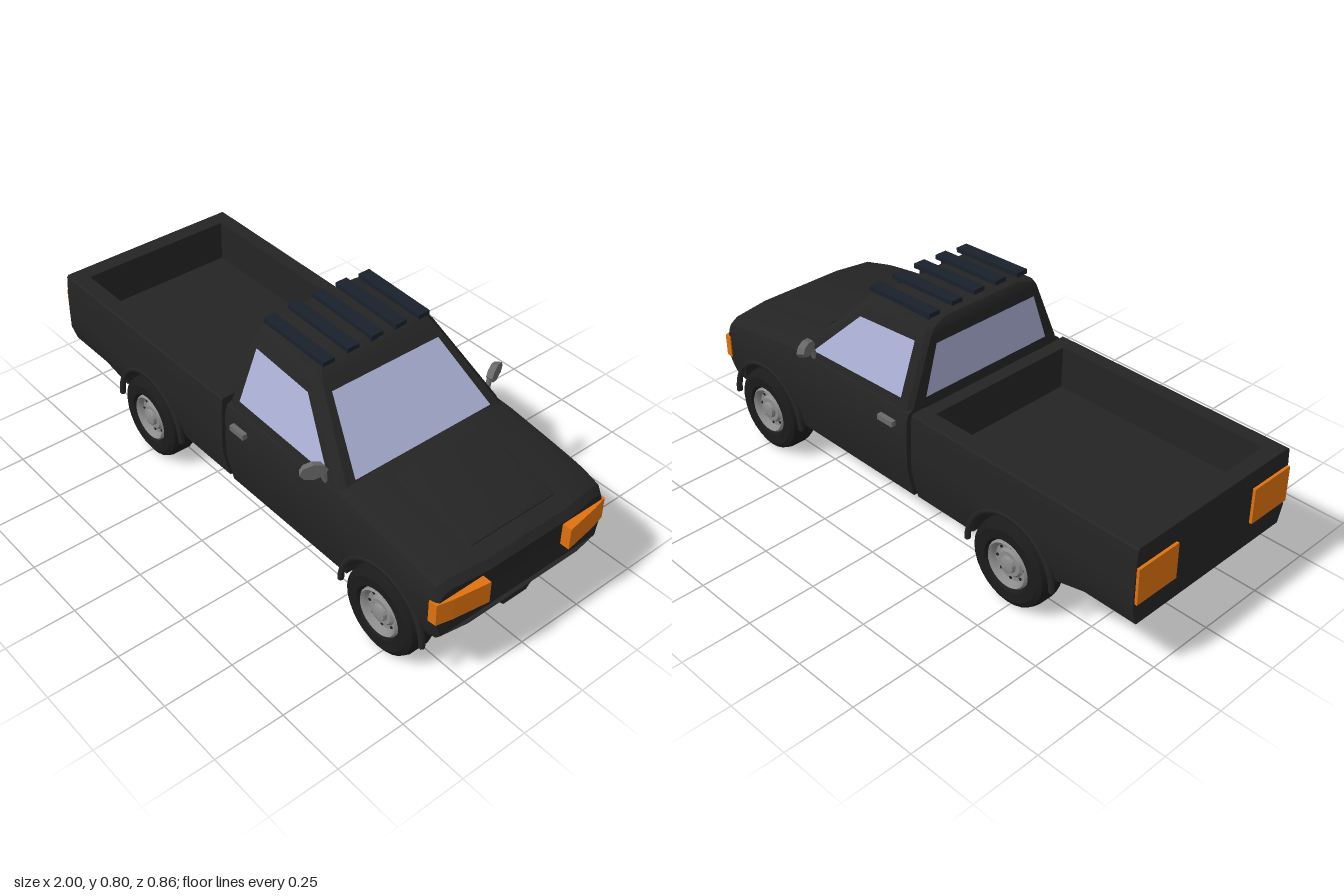
import * as THREE from 'three';
import { toCreasedNormals } from 'three/addons/utils/BufferGeometryUtils.js';

const mat = (color) => new THREE.MeshStandardMaterial({ color });
const paint = mat(0x242424), rubber = mat(0x1b1b1b), steel = mat(0x8c8c8c), trim = mat(0x6a6a6a);
const amber = mat(0xe0720e), lampBar = mat(0x1a212b);
const glass = mat(0xa9aed2);
glass.side = THREE.DoubleSide;

const WHEELS = [-0.49, 0.73], AXLE_Y = 0.155, ARCH = 0.18;

function add(parent, name, geometry, material, x = 0, y = 0, z = 0) {
  const m = new THREE.Mesh(geometry, material);
  m.name = name;
  m.position.set(x, y, z);
  parent.add(m);
  return m;
}

// Skin over sections along x; each section is { x, half: [[z, y], ...] } going from bottom to top on the +z side
function loft(sections, crease = 0.5, bend = (x) => x) {
  const pos = [], idx = [], h = sections[0].half.length, n = 2 * h;
  for (const { x, half } of sections) {
    const ring = [...half, ...half.map(([z, y]) => [-z, y]).reverse()];
    for (const [z, y] of ring) pos.push(bend(x, z), y, z);
  }
  for (let k = 0; k < sections.length - 1; k++) {
    for (let i = 0; i < n; i++) {
      const a = k * n + i, b = k * n + (i + 1) % n, c = a + n, d = b + n;
      idx.push(a, c, b, b, c, d);
    }
  }
  const last = (sections.length - 1) * n;
  for (let i = 0; i < h - 1; i++) {
    const p = i, r = i + 1, q = n - 1 - i, s = n - 2 - i;
    idx.push(p, r, q, r, s, q);
    idx.push(last + p, last + q, last + r, last + r, last + q, last + s);
  }
  const g = new THREE.BufferGeometry();
  g.setAttribute('position', new THREE.Float32BufferAttribute(pos, 3));
  g.setIndex(idx);
  return toCreasedNormals(g, crease);
}

// Straight-line interpolation through [x, y] points
function along(points, x) {
  if (x <= points[0][0]) return points[0][1];
  for (let i = 1; i < points.length; i++) {
    const [x0, y0] = points[i - 1], [x1, y1] = points[i];
    if (x <= x1) return y0 + (y1 - y0) * (x - x0) / (x1 - x0);
  }
  return points[points.length - 1][1];
}

// Lower half of a body section, with the wheel arch lifted out of the side
function flank(x, base, cx, s = 1) {
  const d = ARCH * ARCH - (x - cx) ** 2;
  const lip = Math.max(base, d > 0 ? AXLE_Y + Math.sqrt(d) : 0);
  const width = (y) => Math.min(0.361, 0.335 + Math.max(0, y - 0.2) * 0.33) * s;
  const mid = Math.max(lip, 0.28);
  return [[0.235, base], [0.235, lip], [width(lip), lip], [width(mid), mid], [0.361 * s, 0.36]];
}

const archXs = (cx) => Array.from({ length: 17 }, (_, i) => cx - ARCH * Math.cos(i * Math.PI / 16));

function bedGeometry() {
  const base = [[-0.99, 0.22], [-0.79, 0.22], [-0.67, 0.185], [-0.6, 0.17]];
  const section = (x, floor) => ({
    x, half: [...flank(x, along(base, x), WHEELS[0]), [0.358, 0.44], [0.354, 0.495], [0.348, 0.502], [0.295, 0.502], [0.293, floor]],
  });
  const open = [-0.93, -0.79, ...archXs(WHEELS[0]), -0.1];
  return loft([section(-0.99, 0.5), section(-0.93, 0.5), ...open.map((x) => section(x, 0.345)), section(-0.1, 0.5), section(-0.05, 0.5)],
    0.5, (x, z) => x);
}

function cabGeometry() {
  const base = [[0.6, 0.165], [0.85, 0.168], [0.92, 0.2], [0.97, 0.2], [0.995, 0.23]];
  const top = [[0.45, 0.51], [0.56, 0.503], [0.72, 0.482], [0.9, 0.455], [0.975, 0.44], [0.995, 0.415]];
  const size = [[0.9, 1], [0.975, 0.985], [0.995, 0.965]];
  const xs = [-0.03, -0.02, 0.3, 0.5, ...archXs(WHEELS[1]), 0.92, 0.95, 0.975, 0.995];
  return loft(xs.map((x) => {
    const s = along(size, x), h = along(top, x);
    return { x, half: [...flank(x, along(base, x), WHEELS[1], s), [0.359 * s, h - 0.05], [0.348 * s, h - 0.02], [0.315 * s, h - 0.005], [0.17, h]] };
  }), 0.5, (x, z) => x - 0.035 * (z / 0.36) ** 2 * THREE.MathUtils.smoothstep(x, 0.8, 0.98));
}

// Greenhouse: chamfered rectangles stacked in y, lofted along x and then stood up
function greenhouseGeometry() {
  const levels = [[0.47, -0.03, 0.555, 0.348], [0.5, -0.03, 0.53, 0.342], [0.725, -0.022, 0.31, 0.254],
    [0.752, -0.018, 0.285, 0.236], [0.768, -0.008, 0.25, 0.18], [0.776, 0.01, 0.22, 0.08]];
  const g = loft(levels.map(([y, back, front, w]) => ({
    x: y, half: [[w - 0.02, -front], [w, -front + 0.035], [w, -back - 0.015], [w - 0.015, -back]],
  })), 0.45);
  return g.rotateZ(Math.PI / 2);
}

function pane(parent, name, corners) {
  const g = new THREE.BufferGeometry().setFromPoints(corners.map((c) => new THREE.Vector3(...c)));
  g.setIndex([0, 1, 2, 0, 2, 3]);
  g.computeVertexNormals();
  add(parent, name, g, glass);
}

const lathe = (pts) => toCreasedNormals(new THREE.LatheGeometry(pts.map((p) => new THREE.Vector2(...p)), 28).rotateX(Math.PI / 2), 0.5);

function wheel() {
  const g = new THREE.Group();
  g.name = 'wheel';
  // Profiles are [radius, distance outward]
  add(g, 'tire', lathe([[0.085, -0.06], [0.135, -0.06], [0.148, -0.045], [0.155, -0.025], [0.155, 0.03],
    [0.148, 0.05], [0.13, 0.06], [0.095, 0.058], [0.085, 0.04]]), rubber);
  add(g, 'rim', lathe([[0, -0.045], [0.086, -0.045], [0.086, 0.05], [0.08, 0.057], [0.072, 0.05], [0.066, 0.034],
    [0.052, 0.034], [0.044, 0.044], [0.03, 0.044], [0.027, 0.056], [0.012, 0.06], [0, 0.06]]), steel);
  for (let i = 0; i < 8; i++) {
    const a = i * Math.PI / 4;
    const hole = add(g, 'rimSlot', new THREE.CylinderGeometry(0.005, 0.005, 0.004, 8), rubber, 0.059 * Math.cos(a), 0.059 * Math.sin(a), 0.035);
    hole.rotation.x = Math.PI / 2;
  }
  return g;
}

export function createModel() {
  const truck = new THREE.Group();
  truck.name = 'pickupTruck';
  add(truck, 'cargoBed', bedGeometry(), paint);
  add(truck, 'cabAndHood', cabGeometry(), paint);
  add(truck, 'greenhouse', greenhouseGeometry(), paint);
  add(truck, 'frameLink', new THREE.BoxGeometry(0.06, 0.29, 0.52), paint, -0.04, 0.32, 0);
  add(truck, 'chinGuard', loft([0.86, 0.95].map((x) => ({ x, half: [[0.05, 0.162], [0.065, 0.178], [0.1, 0.205]] }))), paint);

  // Raised hood panel
  add(truck, 'hoodPanel', loft([[0.58, 0.5], [0.61, 0.503], [0.72, 0.488], [0.88, 0.463], [0.91, 0.453]].map(([x, y]) => (
    { x, half: [[0.19, y - 0.02], [0.18, y - 0.001], [0.165, y + 0.003]] }))), paint);

  // Windshield and rear window
  const wx = (y) => 0.534 - (y - 0.5) * 0.978;
  pane(truck, 'windshield', [[wx(0.508), 0.508, 0.285], [wx(0.508), 0.508, -0.285], [wx(0.7), 0.7, -0.22], [wx(0.7), 0.7, 0.22]]);
  pane(truck, 'rearWindow', [[-0.034, 0.525, -0.275], [-0.034, 0.525, 0.275], [-0.028, 0.7, 0.22], [-0.028, 0.7, -0.22]]);

  // Lamp bars on the roof
  for (let i = -2; i <= 2; i++) {
    const y = 0.787 - 0.0025 * i * i;
    const bar = new THREE.Group();
    bar.name = 'roofBar';
    bar.position.set(0.15, y, i * 0.098);
    bar.rotation.z = -0.035;
    add(bar, 'barTop', new THREE.BoxGeometry(0.29, 0.016, 0.046), lampBar);
    add(bar, 'barBase', new THREE.BoxGeometry(0.26, 0.03, 0.026), lampBar, 0, -0.015, 0);
    truck.add(bar);
  }

  for (const s of [1, -1]) {
    // Side window
    const wz = (y) => s * (0.345 - (y - 0.5) * 0.391);
    pane(truck, 'sideWindow', [[0.02, 0.525], [0.46, 0.513], [0.285, 0.69], [0.025, 0.705]].map(([x, y]) => [x, y, wz(y)]));

    // Door handle
    add(truck, 'doorHandle', new THREE.BoxGeometry(0.07, 0.02, 0.018), trim, 0.055, 0.44, s * 0.37);

    // Wing mirror on its stalk
    const mirror = new THREE.Group();
    mirror.name = 'wingMirror';
    mirror.position.set(0.443, 0.546, s * 0.382);
    mirror.rotation.y = s * -0.4;
    const shell = new THREE.CylinderGeometry(0.034, 0.04, 0.024, 8).rotateZ(Math.PI / 2);
    add(mirror, 'mirrorShell', toCreasedNormals(shell, 0.4), trim).scale.set(1, 0.72, 1.15);
    truck.add(mirror);
    const stalk = new THREE.LineCurve3(new THREE.Vector3(0.455, 0.49, s * 0.34), new THREE.Vector3(0.45, 0.54, s * 0.357));
    add(truck, 'mirrorStalk', new THREE.TubeGeometry(stalk, 1, 0.01, 6), trim);

    // Headlight wrapping the front corner, drawn in plan
    const plan = new THREE.Shape([[0.93, 0.33], [0.935, 0.36], [0.965, 0.357], [0.978, 0.3], [0.997, 0.17], [0.95, 0.17]]
      .map(([x, z]) => new THREE.Vector2(x, -s * z)));
    const lamp = new THREE.ExtrudeGeometry(plan, { depth: 0.082, bevelEnabled: false }).rotateX(-Math.PI / 2);
    add(truck, 'headlight', lamp, amber, 0, 0.29, 0);

    // Tail light
    add(truck, 'tailLight', new THREE.BoxGeometry(0.02, 0.13, 0.175), amber, -0.99, 0.37, s * 0.268);

    // Wheels and arch lips
    for (const x of WHEELS) {
      const w = wheel();
      w.position.set(x, AXLE_Y, s * 0.31);
      if (s < 0) w.rotation.y = Math.PI;
      truck.add(w);
      add(truck, 'archLip', new THREE.TorusGeometry(0.184, 0.011, 6, 24, Math.PI), paint, x, AXLE_Y, s * 0.355);
    }
  }
  return truck;
}
